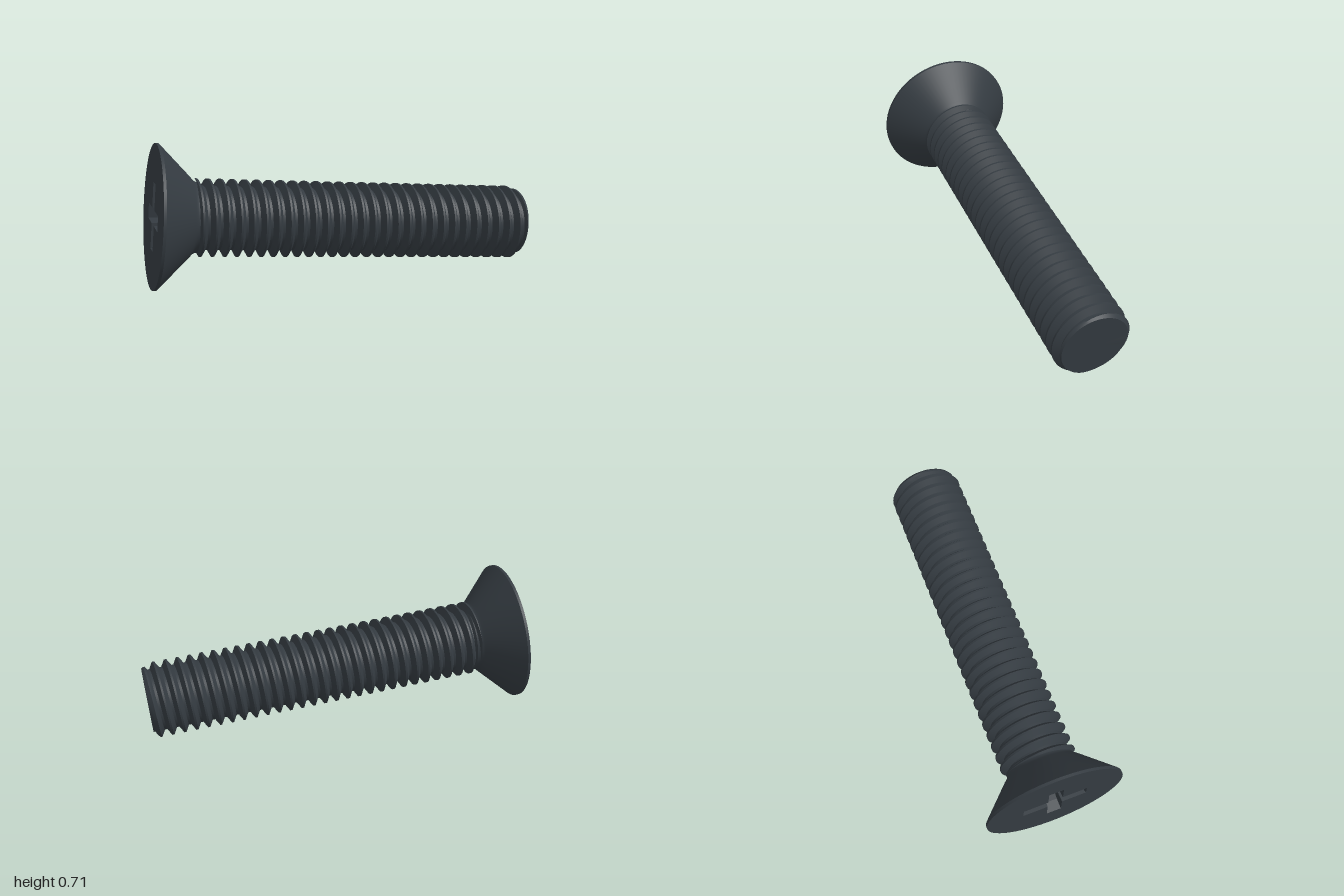
import * as THREE from 'three';
import { toCreasedNormals } from 'three/addons/utils/BufferGeometryUtils.js';

const LENGTH = 1.931, HEAD_R = 0.356;
const CREST_R = 0.192, ROOT_R = 0.158, PITCH = 0.0615, CREST_AT = 0.263;
const THREAD_START = 0.195, END_R = 0.167;

function bufferFrom(positions) {
  const g = new THREE.BufferGeometry();
  g.setAttribute('position', new THREE.Float32BufferAttribute(positions, 3));
  g.computeVertexNormals();
  return g;
}

// Outline of the cross socket: arms reach r, half width w
function crossOutline(r, w) {
  const pts = [];
  for (let i = 0; i < 4; i++) {
    for (const [x, y] of [[r, -w], [r, w], [w, w]]) {
      pts.push(new THREE.Vector2(x, y).rotateAround(new THREE.Vector2(), i * Math.PI / 2));
    }
  }
  return pts;
}

// Thread radius at distance s along the axis and angle t, with a chamfered tip
function threadRadius(s, t) {
  let phase = (s - CREST_AT) / PITCH - t / (2 * Math.PI);
  phase = Math.abs(phase - Math.round(phase));
  const k = THREE.MathUtils.clamp((phase - 0.08) / 0.32, 0, 1);
  return Math.min(THREE.MathUtils.lerp(CREST_R, ROOT_R, k), END_R + (LENGTH - s) * 0.8);
}

// Right-handed helical surface whose rows follow the thread, closed by the tip face
function threadGeometry() {
  const SEG = 72, phases = [-0.4, -0.24, -0.08, 0.08, 0.24, 0.4];
  const point = (row, j) => {
    const t = j / SEG * 2 * Math.PI;
    const turn = Math.floor(row / 6) - 3 + phases[row % 6];
    const s = THREE.MathUtils.clamp(CREST_AT + PITCH * (turn + t / (2 * Math.PI)), THREAD_START, LENGTH);
    const r = threadRadius(s, t);
    return new THREE.Vector3(r * Math.sin(t), s, r * Math.cos(t));
  };
  const pos = [], tri = new THREE.Triangle();
  const add = (a, b, c) => {
    if (tri.set(a, b, c).getArea() > 1e-9) for (const p of [a, b, c]) pos.push(p.x, p.y, p.z);
  };
  const rows = 6 * (Math.ceil((LENGTH - CREST_AT) / PITCH) + 5);
  const tip = new THREE.Vector3(0, LENGTH, 0);
  for (let j = 0; j < SEG; j++) {
    for (let i = 0; i < rows - 1; i++) {
      const a = point(i, j), b = point(i, j + 1), c = point(i + 1, j), d = point(i + 1, j + 1);
      add(a, b, c);
      add(b, d, c);
    }
    add(tip, point(rows - 1, j), point(rows - 1, j + 1));
  }
  return toCreasedNormals(bufferFrom(pos), 0.6);
}

// Walls of the socket, lofted between outlines at growing depth
function socketWalls(levels) {
  const pos = [];
  const loops = levels.map(([r, w, d]) => crossOutline(r, w).map(p => [p.x, d, p.y]));
  for (let l = 0; l < loops.length - 1; l++) {
    for (let i = 0; i < 12; i++) {
      const n = (i + 1) % 12;
      const a = loops[l][i], b = loops[l][n], c = loops[l + 1][i], d = loops[l + 1][n];
      pos.push(...a, ...b, ...c, ...b, ...d, ...c);
    }
  }
  return bufferFrom(pos);
}

export function createModel() {
  const model = new THREE.Group();
  model.name = 'machineScrew';
  const steel = new THREE.MeshStandardMaterial({ color: 0x343b41 });
  steel.name = 'blackened steel';

  // Screw built along its own +y, from head face to tip
  const screw = new THREE.Group();
  screw.name = 'screw';
  model.add(screw);
  const add = (name, geometry) => {
    const mesh = new THREE.Mesh(geometry, steel);
    mesh.name = name;
    screw.add(mesh);
  };

  // Countersunk head with a thin rim and a filleted neck
  const profile = [
    [HEAD_R, 0], [HEAD_R, 0.014], [0.2, 0.17], [0.188, 0.18],
    [0.179, 0.19], [0.174, 0.202], [0.172, 0.215], [0.158, 0.225],
  ].map(([r, y]) => new THREE.Vector2(r, y));
  add('countersunkHead', toCreasedNormals(new THREE.LatheGeometry(profile, 72), 0.5));

  // Flat head face with the cross socket cut through it
  const levels = [[0.165, 0.038, 0], [0.15, 0.036, 0.05], [0.075, 0.034, 0.13]];
  const face = new THREE.Shape().absarc(0, 0, HEAD_R, 0, Math.PI * 2);
  face.holes.push(new THREE.Path(crossOutline(levels[0][0], levels[0][1]).reverse()));
  add('headFace', new THREE.ShapeGeometry(face, 36).rotateX(Math.PI / 2));
  add('socketWalls', socketWalls(levels));
  const [r, w, depth] = levels[2];
  const floor = new THREE.ShapeGeometry(new THREE.Shape(crossOutline(r, w)));
  add('socketFloor', floor.rotateX(Math.PI / 2).translate(0, depth, 0));

  add('threadedShank', threadGeometry());

  // Lay the screw down at its slight tilt
  const head = new THREE.Vector3(-0.921, 0.355, -0.115);
  const axis = new THREE.Vector3(0.963, 0.203, 0.278).sub(head).normalize();
  const up = new THREE.Vector3(0, 1, 0).addScaledVector(axis, -axis.y).normalize();
  const side = new THREE.Vector3().crossVectors(axis, up);
  screw.quaternion.setFromRotationMatrix(new THREE.Matrix4().makeBasis(side, axis, up));
  screw.position.copy(head);
  return model;
}
